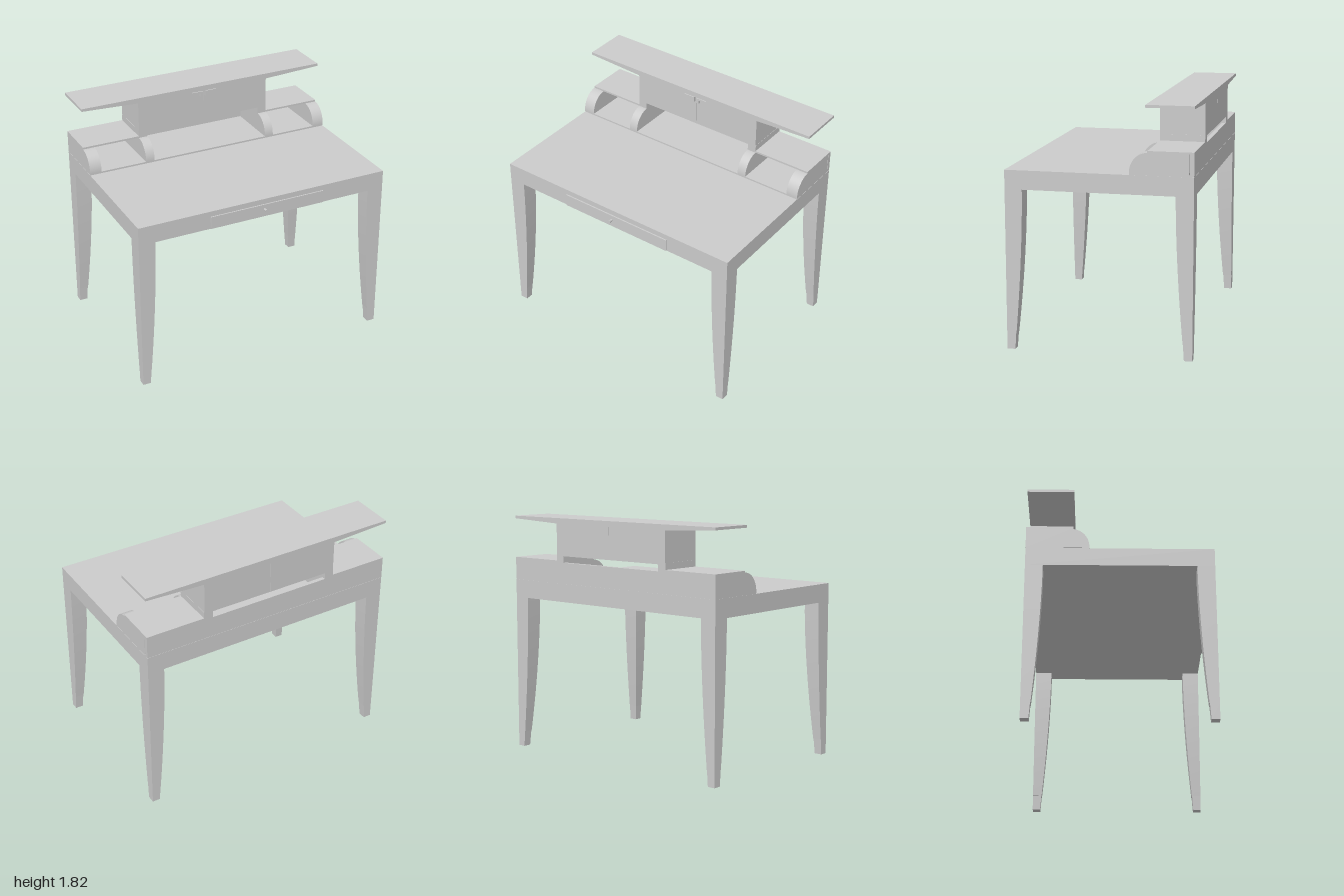
import * as THREE from 'three';

const BACK = -0.705, FRONT = 0.66;

export function createModel() {
  const desk = new THREE.Group();
  desk.name = 'writingDesk';
  const mat = new THREE.MeshStandardMaterial({ color: 0xcccccc });

  const add = (name, geometry) => {
    const mesh = new THREE.Mesh(geometry, mat);
    mesh.name = name;
    desk.add(mesh);
    return mesh;
  };
  // Box given by its lower and upper corners
  const box = (name, x0, x1, y0, y1, z0, z1) =>
    add(name, new THREE.BoxGeometry(x1 - x0, y1 - y0, z1 - z0)
      .translate((x0 + x1) / 2, (y0 + y1) / 2, (z0 + z1) / 2));
  // Profile in the x-y plane, extruded from z0 to z1
  const slab = (name, points, z0, z1) =>
    add(name, new THREE.ExtrudeGeometry(
      new THREE.Shape(points.map(([x, y]) => new THREE.Vector2(x, y))),
      { depth: z1 - z0, bevelEnabled: false }).translate(0, 0, z0));

  // Desk body with drawer and knob
  box('deskBody', -1, 1, 1.187, 1.326, BACK, FRONT);
  box('drawerFront', -0.44, 0.48, 1.19, 1.285, FRONT - 0.005, 0.67);
  const stem = add('knobStem', new THREE.CylinderGeometry(0.009, 0.009, 0.02, 16).rotateX(Math.PI / 2));
  stem.position.set(-0.01, 1.247, 0.678);
  const knob = add('knob', new THREE.CylinderGeometry(0.014, 0.01, 0.02, 16).rotateX(Math.PI / 2));
  knob.position.set(-0.01, 1.247, 0.696);

  // Tapered leg: outer faces stay upright, inner faces follow width(y)
  const taper = (name, sx, sz, y0, y1, segments, width) => {
    const g = new THREE.BoxGeometry(1, 1, 1, 1, segments, 1);
    const p = g.attributes.position;
    const outerZ = sz > 0 ? FRONT : BACK;
    for (let i = 0; i < p.count; i++) {
      const t = p.getY(i) + 0.5;
      const w = width(t);
      const x = p.getX(i) * sx > 0 ? sx : sx * (1 - w);
      const z = p.getZ(i) * sz > 0 ? outerZ : outerZ - sz * w;
      p.setXYZ(i, x, y0 + (y1 - y0) * t, z);
    }
    g.computeVertexNormals();
    add(name, g);
  };
  for (const sx of [-1, 1]) {
    for (const sz of [-1, 1]) {
      const place = (sz > 0 ? 'front' : 'back') + (sx > 0 ? 'Left' : 'Right');
      taper(place + 'Leg', sx, sz, 0.118, 1.187, 12, t => 0.07 + 0.058 * (1 - (1 - t) ** 1.7));
      taper(place + 'Foot', sx, sz, 0, 0.118, 1, t => 0.06 + 0.008 * t);
    }
  }

  // Pigeonhole shelf: base, back and curved dividers
  box('shelfBase', -1, 1, 1.33, 1.34, BACK, -0.245);
  box('shelfFoot', -0.998, 0.998, 1.326, 1.33, BACK + 0.002, -0.247);
  box('shelfBack', -1, 1, 1.34, 1.486, BACK, -0.675);
  const divider = (name, x0, x1, zBack) => {
    const s = new THREE.Shape();
    s.moveTo(-zBack, 1.34);
    s.lineTo(-zBack, 1.486);
    s.lineTo(0.375, 1.486);
    s.absellipse(0.375, 1.34, 0.13, 0.146, Math.PI / 2, Math.PI, false);
    s.closePath();
    const g = new THREE.ExtrudeGeometry(s, { depth: x1 - x0, bevelEnabled: false, curveSegments: 16 });
    // Shape x runs backwards, so turn it onto the z axis
    g.rotateY(Math.PI / 2).translate(x0, 0, 0);
    add(name, g);
  };
  divider('rightEnd', -1, -0.908, -0.675);
  divider('rightDivider', -0.545, -0.475, -0.675);
  divider('leftDivider', 0.475, 0.545, -0.675);
  divider('leftEnd', 0.908, 1, -0.67);

  // Shelf tops on both sides and cabinet supports over the open middle
  for (const s of [-1, 1]) {
    const side = s > 0 ? 'left' : 'right';
    const span = (a, b) => [Math.min(s * a, s * b), Math.max(s * a, s * b)];
    box(side + 'ShelfTop', ...span(0.545, 1), 1.486, 1.5, BACK, -0.375);
    box(side + 'Support', ...span(0.475, 0.545), 1.486, 1.536, BACK, -0.375);
    // Cabinet halves meet in a fine seam
    box(side + 'CabinetDoor', ...span(0.0015, 0.543), 1.548, 1.779, BACK, -0.373);
    // Bracket handle
    slab(side + 'Handle', (s > 0 ? (a => a) : (a => a.reverse()))([
      [s * 0.01, 1.736], [s * 0.034, 1.736], [s * 0.034, 1.762],
      [s * 0.06, 1.766], [s * 0.1, 1.777], [s * 0.01, 1.777],
    ]), -0.375, -0.355);
  }
  box('cabinetFloor', -0.545, 0.545, 1.536, 1.548, BACK, -0.375);
  box('cabinetCore', -0.535, 0.535, 1.548, 1.779, BACK + 0.005, -0.378);

  // Wide lid with an underside rising towards both ends
  slab('lid', [
    [-1, 1.8], [-0.545, 1.779], [0.545, 1.779], [1, 1.8], [1, 1.82], [-1, 1.82],
  ], BACK, -0.36);

  return desk;
}
